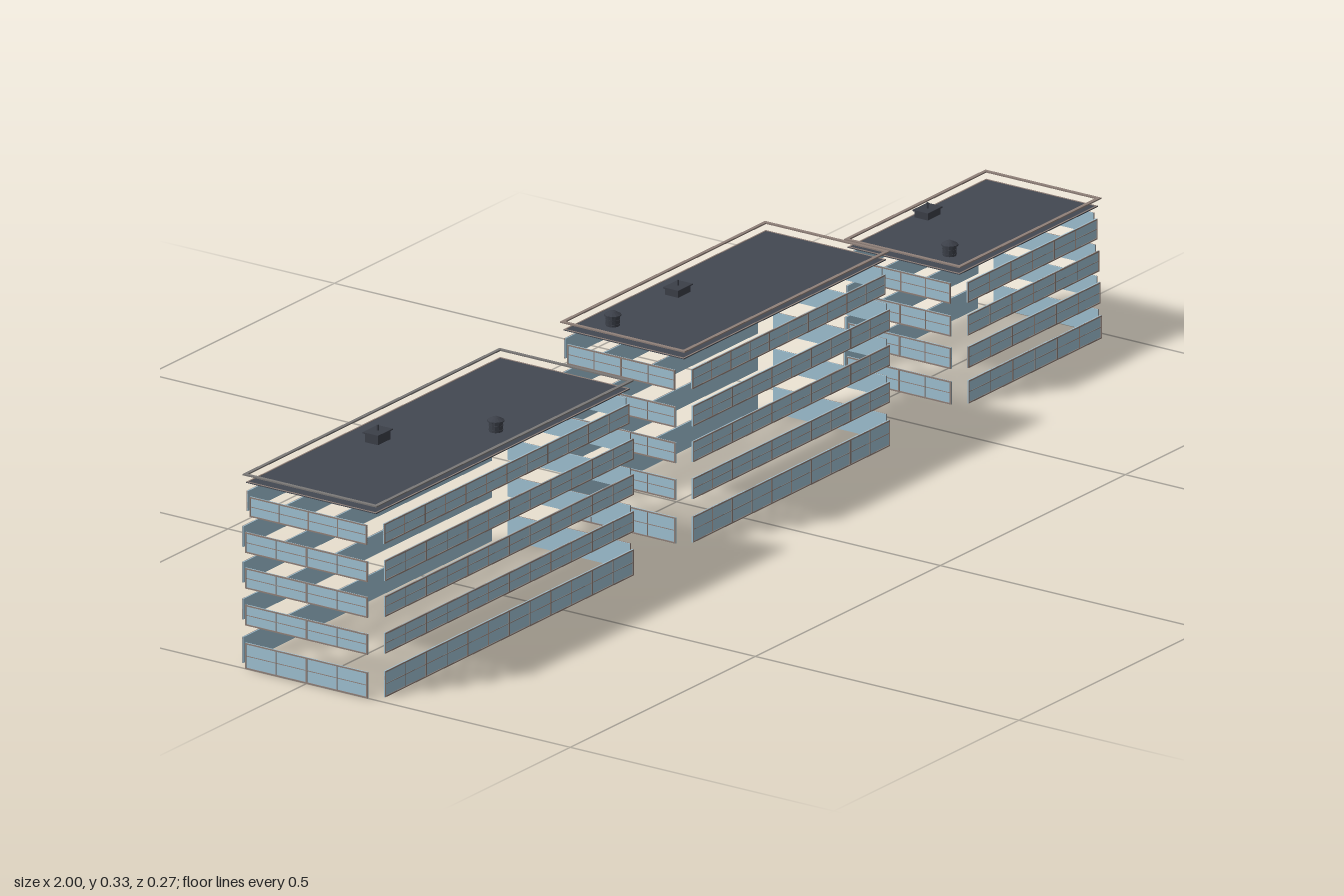
import * as THREE from 'three';

const mat = (name, color) => {
  const m = new THREE.MeshStandardMaterial({ color });
  m.name = name;
  return m;
};

export function createModel() {
  const glass = mat('blue glass', 0x9fc1d2);
  const taupe = mat('taupe frame', 0x8f8079);
  const roofMat = mat('slate roof', 0x434852);
  const greyTrim = mat('grey trim', 0x7b7977);
  const dark = mat('dark equipment', 0x3b3f48);

  const model = new THREE.Group();
  model.name = 'buildingRow';

  const box = (parent, name, m, w, h, d, x, y, z) => {
    const mesh = new THREE.Mesh(new THREE.BoxGeometry(w, h, d), m);
    mesh.name = name;
    mesh.position.set(x, y, z);
    parent.add(mesh);
    return mesh;
  };

  // One band of windows, facing local +z and centred on local x; bars on the outside only
  function windowBand(w, y0, y1) {
    const g = new THREE.Group();
    g.name = 'windowBand';
    const h = y1 - y0, y = (y0 + y1) / 2, t = 0.0022;
    box(g, 'glass', glass, w, h, 0.002, 0, y, 0);
    for (const s of [-1, 1]) {
      box(g, 'rail', taupe, w, t, 0.002, 0, y + s * (h - t) / 2, 0.001);
      box(g, 'jamb', taupe, t, h, 0.002, s * (w - t) / 2, y, 0.001);
    }
    box(g, 'transom', taupe, w, 0.0011, 0.0012, 0, y, 0.001);
    // Main mullions with a finer bar between each pair
    const n = 2 * Math.max(2, Math.round(w / 0.112));
    for (let i = 1; i < n; i++) {
      const bar = i % 2 ? 0.0013 : 0.003;
      box(g, 'mullion', taupe, bar, h, 0.0016, -w / 2 + (i * w) / n, y, 0.001);
    }
    return g;
  }

  // Flat rectangular ring lying at height y
  function flatRing(name, m, hx, hz, width, thickness, y) {
    const s = new THREE.Shape();
    s.moveTo(-hx, -hz).lineTo(hx, -hz).lineTo(hx, hz).lineTo(-hx, hz).closePath();
    const ix = hx - width, iz = hz - width, hole = new THREE.Path();
    hole.moveTo(-ix, -iz).lineTo(-ix, iz).lineTo(ix, iz).lineTo(ix, -iz).closePath();
    s.holes.push(hole);
    const geo = new THREE.ExtrudeGeometry(s, { depth: thickness, bevelEnabled: false });
    geo.rotateX(-Math.PI / 2);
    const mesh = new THREE.Mesh(geo, m);
    mesh.name = name;
    mesh.position.y = y;
    return mesh;
  }

  // Round water tank with an overhanging conical cap
  function waterTank(x, y, z) {
    const g = new THREE.Group();
    g.name = 'waterTank';
    const pts = [[0, 0], [0.011, 0], [0.011, 0.016], [0.0135, 0.017], [0.0135, 0.019], [0.005, 0.024], [0, 0.025]];
    const geo = new THREE.LatheGeometry(pts.map(p => new THREE.Vector2(...p)), 12).toNonIndexed();
    geo.computeVertexNormals();
    const body = new THREE.Mesh(geo, dark);
    body.name = 'tankBody';
    g.add(body);
    for (const h of [0.004, 0.011]) {
      const hoop = new THREE.Mesh(new THREE.CylinderGeometry(0.0117, 0.0117, 0.0012, 12), dark);
      hoop.name = 'tankHoop';
      hoop.position.y = h;
      g.add(hoop);
    }
    g.position.set(x, y, z);
    return g;
  }

  // Low rooftop unit with a lid and vent pipe
  function roofUnit(x, y, z, h) {
    const g = new THREE.Group();
    g.name = 'roofUnit';
    box(g, 'unitBody', dark, 0.034, h, 0.025, 0, h / 2, 0);
    box(g, 'unitLid', dark, 0.04, 0.0022, 0.029, 0, h + 0.0005, 0);
    const pipe = new THREE.Mesh(new THREE.CylinderGeometry(0.0016, 0.0016, 0.01, 8), dark);
    pipe.name = 'ventPipe';
    pipe.position.y = h + 0.006;
    g.add(pipe);
    g.position.set(x, y, z);
    return g;
  }

  // Floors list: bottom, top, inset of the walls at that floor
  const tallFloors = [[0.003, 0.046, 0], [0.075, 0.109, 0], [0.136, 0.17, 0], [0.195, 0.229, 0], [0.254, 0.287, 0.005]];
  const lowFloors = [[0.004, 0.042, 0], [0.062, 0.097, 0.0015], [0.115, 0.149, 0.003], [0.168, 0.202, 0.005]];
  const buildings = [
    { name: 'longBuilding', x: -0.645, hx: 0.354, hz: 0.134, floors: tallFloors, roof: 0.306, coping: greyTrim, tank: [-0.577, 0.062], unit: [-0.718, -0.063, 0.016] },
    { name: 'middleBuilding', x: 0.13, hx: 0.284, hz: 0.125, floors: tallFloors, roof: 0.306, coping: taupe, tank: [-0.083, -0.063], unit: [0.093, -0.063, 0.012] },
    { name: 'shortBuilding', x: 0.8, hx: 0.198, hz: 0.117, floors: lowFloors, roof: 0.217, coping: taupe, tank: [0.675, 0.044], unit: [0.799, -0.085, 0.012] },
  ];

  for (const b of buildings) {
    const g = new THREE.Group();
    g.name = b.name;
    g.position.x = b.x;
    // Window bands on all four sides, stopping short of the corners
    for (const [y0, y1, inset] of b.floors) {
      const hx = b.hx - inset, hz = b.hz - inset;
      for (let k = 0; k < 4; k++) {
        const [along, out] = k % 2 ? [hz, hx] : [hx, hz];
        const angle = (k * Math.PI) / 2;
        const band = windowBand(2 * (along - 0.018), y0, y1);
        band.rotation.y = angle;
        band.position.set(out * Math.sin(angle), 0, out * Math.cos(angle));
        g.add(band);
      }
    }
    // Roof deck with an edge strip, and the coping ring above it
    const dx = b.hx - 0.011, dz = b.hz - 0.011;
    box(g, 'roofDeck', roofMat, 2 * dx, 0.0014, 2 * dz, 0, b.roof, 0);
    g.add(flatRing('roofEdge', taupe, dx, dz, 0.0025, 0.0006, b.roof + 0.0007));
    g.add(flatRing('coping', b.coping, b.hx - 0.007, b.hz - 0.007, 0.006, 0.0022, b.roof + 0.0122));
    // Rooftop equipment
    g.add(waterTank(b.tank[0] - b.x, b.roof, b.tank[1]));
    g.add(roofUnit(b.unit[0] - b.x, b.roof, b.unit[1], b.unit[2]));
    model.add(g);
  }
  return model;
}
